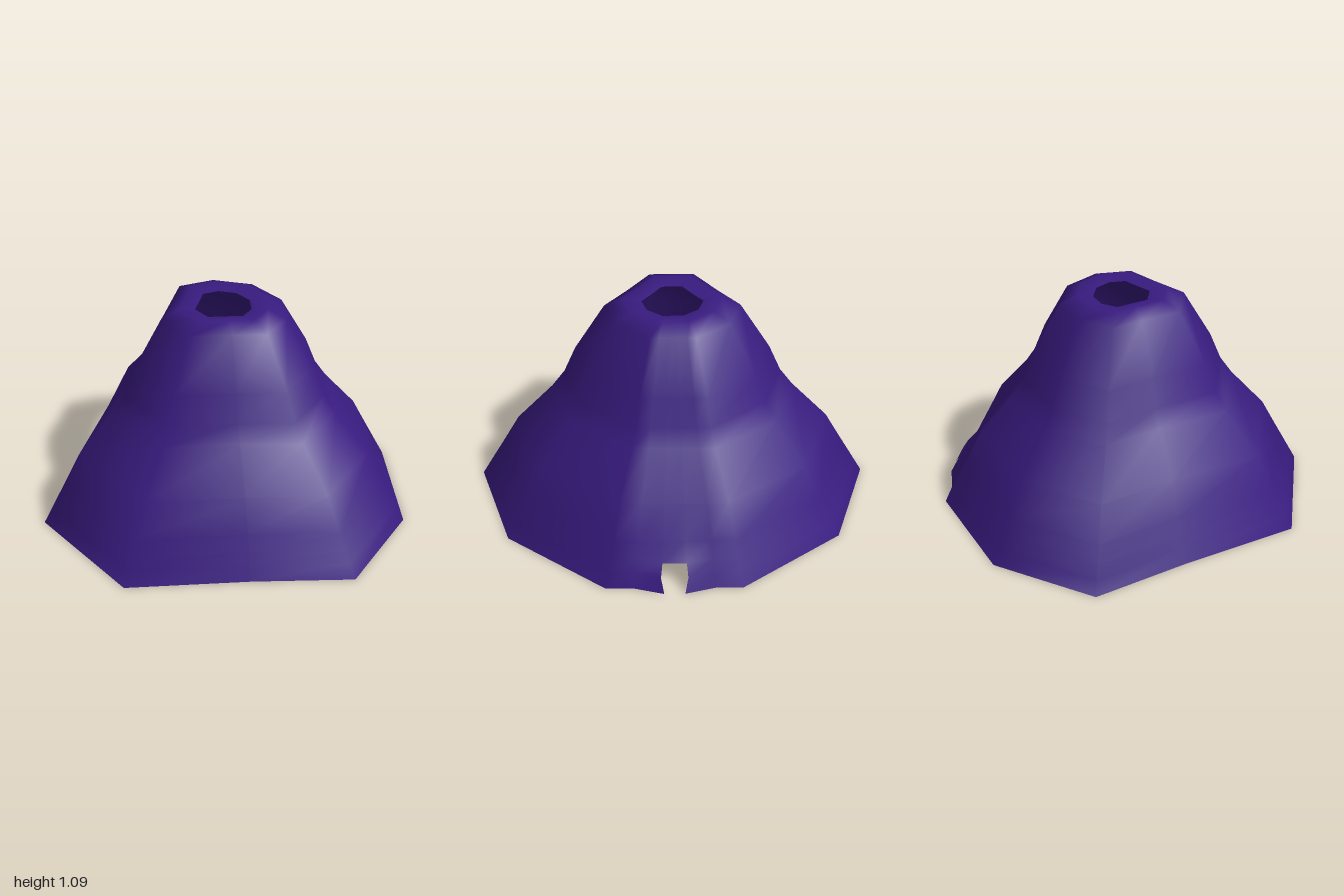
import * as THREE from 'three';

export function createModel() {
  const group = new THREE.Group();
  const material = new THREE.MeshStandardMaterial({ color: 0x391b80, side: THREE.DoubleSide });

  // Half of the base outline (x, z), from the vent side round to the far side
  const half = [[0.86, 0.06], [0.86, 0.2], [0.86, 0.33], [0.5, 0.825], [-0.02, 1], [-0.41, 0.69], [-0.9, 0.335]];
  const outline = [...half, ...half.slice().reverse().map(([x, z]) => [x, -z])];

  // Cross-sections going up: height and scale of the outline
  const rings = [
    [0, 1], [0.07, 0.96], [0.13, 0.926], [0.21, 0.88], [0.37, 0.79], [0.57, 0.605], [0.66, 0.54],
    [0.8, 0.48], [1.045, 0.33], [1.085, 0.237], [1.07, 0.15],
  ];
  // The slope flares slightly around the vent: x and half width on the lowest rings
  const vent = [[0.9, 0.05], [0.865, 0.065], [0.83, 0.058]];

  const n = outline.length;
  const positions = [];
  rings.forEach(([y, s], i) => outline.forEach(([x, z], j) => {
    const besideVent = j === 0 || j === n - 1;
    if (besideVent && vent[i]) positions.push(vent[i][0], y, Math.sign(z) * vent[i][1]);
    else positions.push(x * s, y, z * s);
  }));

  // Skin the rings, leaving the vent opening at the foot
  const index = [];
  for (let i = 0; i < rings.length - 1; i++) {
    for (let j = 0; j < n; j++) {
      if (j === n - 1 && i < 2) continue;
      const k = (j + 1) % n;
      const a = i * n + j, b = i * n + k, c = a + n, d = b + n;
      index.push(a, c, b, b, c, d);
    }
  }

  const geometry = new THREE.BufferGeometry();
  geometry.setAttribute('position', new THREE.Float32BufferAttribute(positions, 3));
  geometry.setIndex(index);
  geometry.computeVertexNormals();

  const cone = new THREE.Mesh(geometry, material);
  cone.name = 'volcanoCone';
  group.add(cone);
  return group;
}
